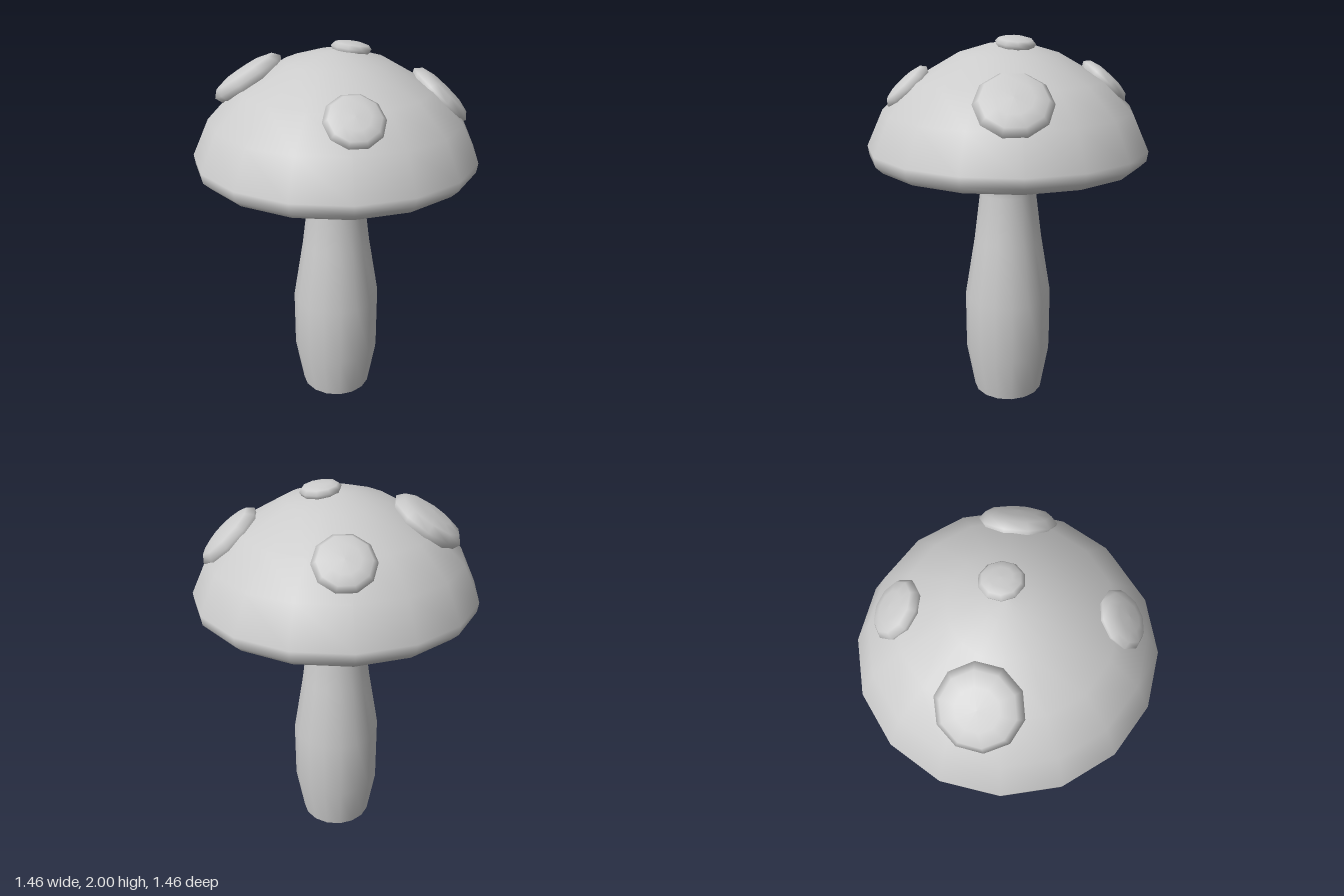
import * as THREE from 'three';

const material = new THREE.MeshStandardMaterial({ color: 0xcccccc, side: THREE.DoubleSide });

// Smooth surface of revolution from [radius, height] pairs
function lathe(name, profile, sides) {
  const points = profile.map(([r, y]) => new THREE.Vector2(r, y));
  const mesh = new THREE.Mesh(new THREE.LatheGeometry(points, sides), material);
  mesh.name = name;
  return mesh;
}

// Domed ten-sided spot with a bevelled edge, tilted outward from the centre of the cap
function spot(x, y, z, radius, tilt) {
  const h = radius * 0.28;
  const mesh = lathe('capSpot', [
    [radius * 0.9, -h * 0.7], [radius, 0], [radius * 0.84, h * 0.62],
    [radius * 0.5, h * 0.92], [0, h],
  ], 10);
  mesh.geometry.rotateY(Math.PI / 10);
  mesh.rotation.set(THREE.MathUtils.degToRad(tilt), Math.atan2(x, z), 0, 'YXZ');
  mesh.position.set(x, y, z);
  return mesh;
}

export function createModel() {
  const model = new THREE.Group();
  model.name = 'mushroom';

  // Hollow stem, open at the foot, flowing out into the flat underside of the cap
  model.add(lathe('stemAndUnderside', [
    [0.195, 0], [0.24, 0.26], [0.24, 0.59], [0.185, 0.92], [0.152, 1.18],
    [0.14, 1.425], [0.595, 1.432],
  ], 16));

  // Domed cap with a rolled rim
  model.add(lathe('cap', [
    [0.595, 1.432], [0.61, 1.385], [0.645, 1.366], [0.69, 1.366], [0.725, 1.4], [0.732, 1.45],
    [0.645, 1.635], [0.49, 1.783], [0.26, 1.912], [0.1, 1.958], [0, 1.966],
  ], 16));

  // Spots: x, y, z, radius, tilt in degrees
  const spots = [
    [-0.24, 1.818, -0.378, 0.198, 32],
    [0.366, 1.77, -0.338, 0.148, 42],
    [0.076, 1.968, 0.035, 0.103, 8],
    [-0.345, 1.755, 0.38, 0.144, 42],
    [0.354, 1.734, 0.391, 0.186, 43],
  ];
  for (const s of spots) model.add(spot(...s));

  return model;
}
